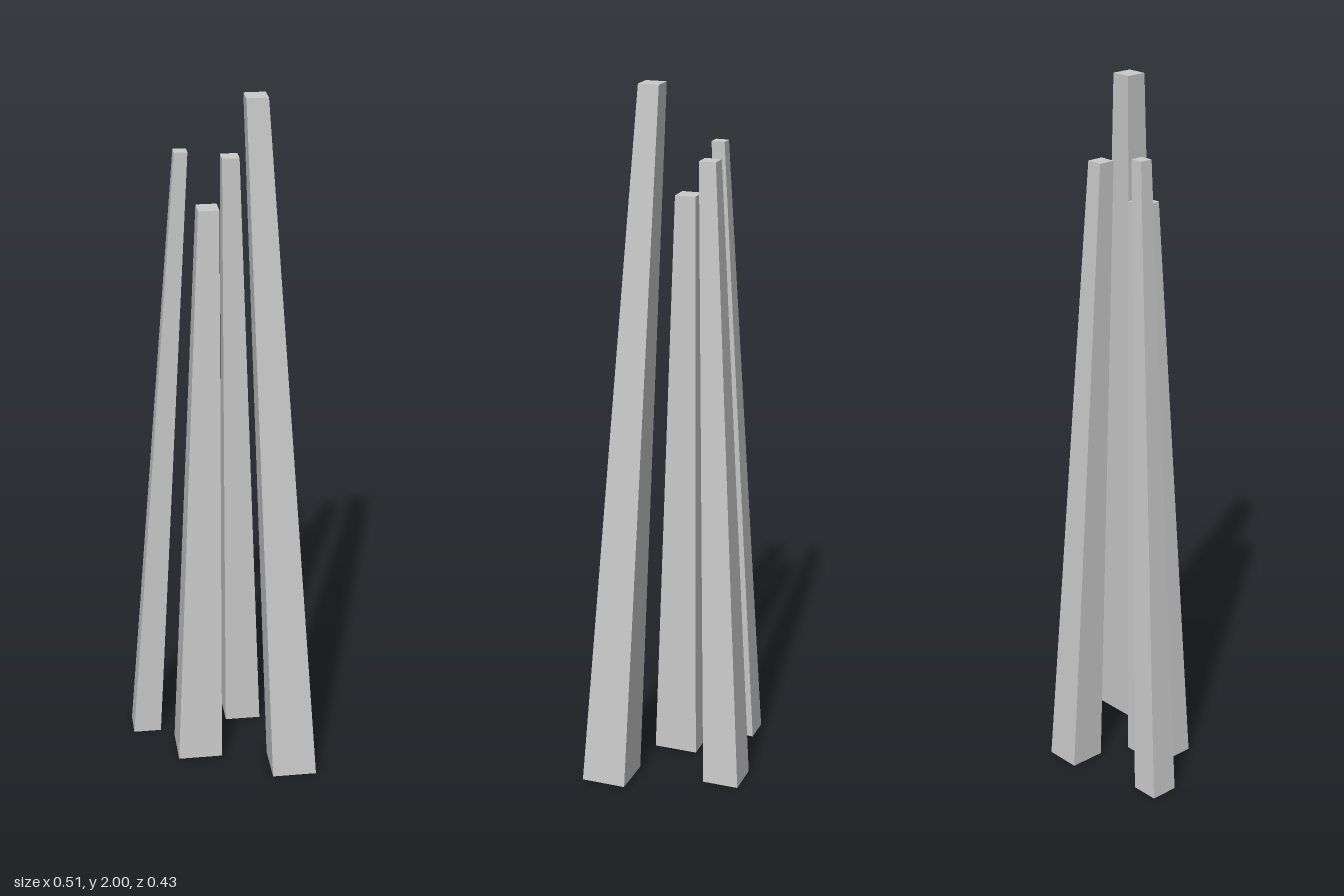
import * as THREE from 'three';

// Tapered, leaning square tower with an open underside.
// base / top: [xMin, xMax, zMin, zMax, y]
function tower(name, base, top, material) {
  const geo = new THREE.BoxGeometry(1, 1, 1);
  const pos = geo.attributes.position;
  for (let i = 0; i < pos.count; i++) {
    const [x0, x1, z0, z1, y] = pos.getY(i) > 0 ? top : base;
    pos.setXYZ(i, pos.getX(i) > 0 ? x1 : x0, y, pos.getZ(i) > 0 ? z1 : z0);
  }
  // drop the bottom face (fourth of the six sides)
  const index = Array.from(geo.index.array);
  index.splice(18, 6);
  geo.setIndex(index);
  geo.clearGroups();
  geo.computeVertexNormals();
  const mesh = new THREE.Mesh(geo, material);
  mesh.name = name;
  return mesh;
}

export function createModel() {
  const group = new THREE.Group();
  group.name = 'towerCluster';
  const material = new THREE.MeshStandardMaterial({
    color: 0xcccccc, flatShading: true, side: THREE.DoubleSide,
  });
  const towers = [
    ['tallFrontTower', [0.126, 0.253, 0.086, 0.214, 0.01], [0.055, 0.113, 0.024, 0.082, 2]],
    ['centreTower', [-0.136, -0.008, -0.038, 0.089, 0.01], [-0.064, -0.007, -0.033, 0.025, 1.685]],
    ['backLeftTower', [0.03, 0.134, -0.216, -0.112, 0.003], [0.012, 0.059, -0.114, -0.067, 1.797]],
    ['backRightTower', [-0.254, -0.173, -0.161, -0.08, 0.003], [-0.118, -0.082, -0.089, -0.052, 1.823]],
  ];
  for (const [name, base, top] of towers) group.add(tower(name, base, top, material));
  return group;
}
